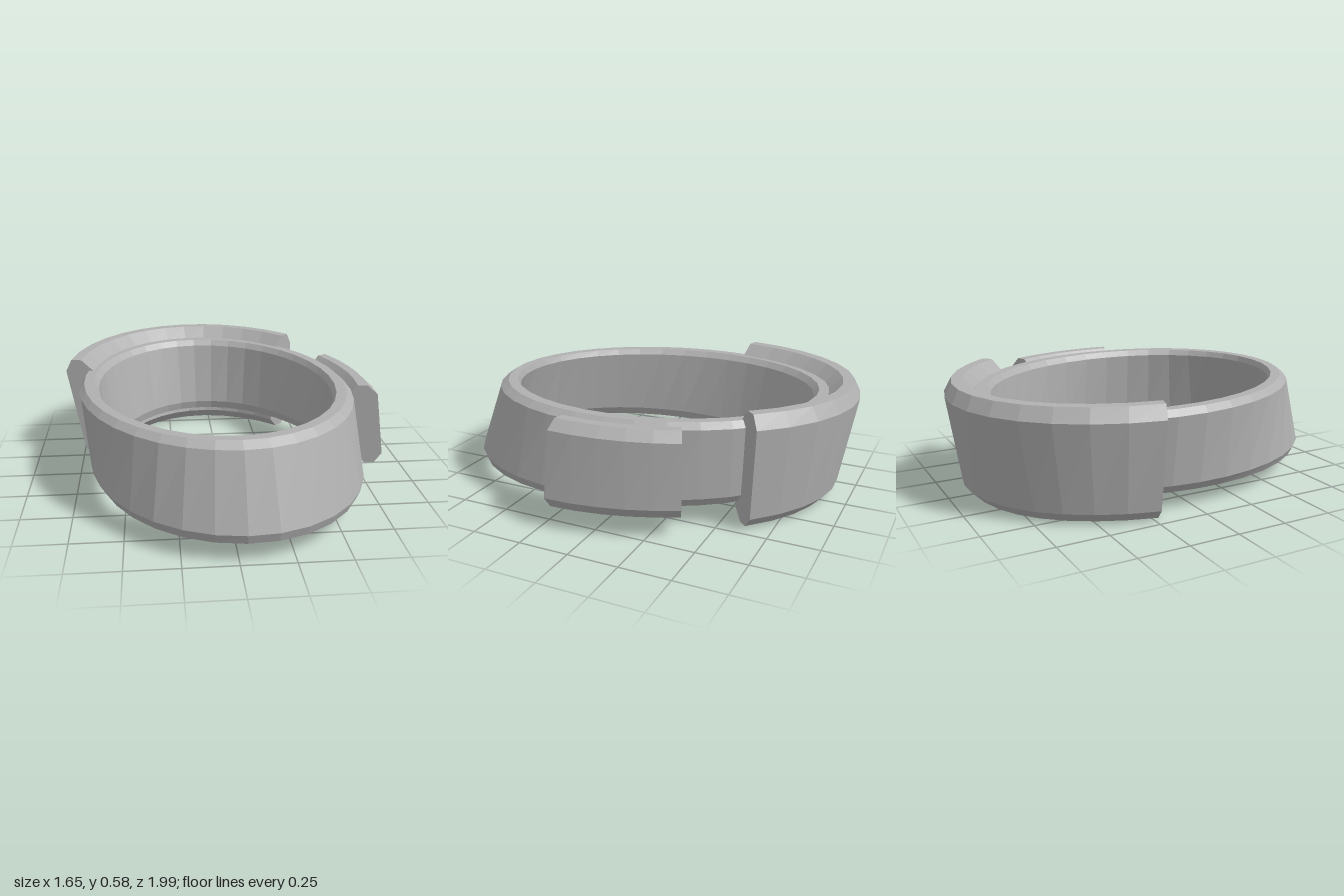
import * as THREE from 'three';

const grey = new THREE.MeshStandardMaterial({ color: 0xb0b0b0, flatShading: true });
grey.name = 'grey metal';

// Outward lean of the walls towards the bottom, by direction around the oval
const flare = (t) => 0.01 + 0.038 * Math.sin(t) + 0.09 * Math.cos(t) + 0.02 * Math.cos(2 * t);

// Point on a slightly skewed oval; d is the offset from its outer wall
function ovalPoint(t, rx, rz, d, y) {
  const r = d + flare(t) * (0.5 - y) / 0.36;
  const z = (rz + r) * Math.cos(t);
  const x = -0.035 + (rx + r) * Math.sin(t) + 0.07 * z;
  return new THREE.Vector3(x, y + 0.008 * x, z + 0.003);
}

// Sweep a bevelled section [offset, y] around the oval, from start to end degrees
function makeBand(name, rx, rz, profile, start, end, segments) {
  const closed = end - start >= 360;
  const n = profile.length;
  const rings = [];
  for (let i = 0; i <= segments; i++) {
    const t = THREE.MathUtils.degToRad(start + (end - start) * i / segments);
    rings.push(profile.map(([d, y]) => ovalPoint(t, rx, rz, d, y)));
  }
  const points = [];
  for (let i = 0; i < segments; i++) {
    for (let j = 0; j < n; j++) {
      const k = (j + 1) % n;
      const a = rings[i][j], b = rings[i + 1][j], c = rings[i + 1][k], e = rings[i][k];
      points.push(a, b, c, a, c, e);
    }
  }
  // Flat end faces
  if (!closed) {
    const first = rings[0], last = rings[segments];
    for (let j = 1; j < n - 1; j++) {
      points.push(first[0], first[j], first[j + 1], last[0], last[j + 1], last[j]);
    }
  }
  const geometry = new THREE.BufferGeometry().setFromPoints(points);
  geometry.computeVertexNormals();
  const mesh = new THREE.Mesh(geometry, grey);
  mesh.name = name;
  return mesh;
}

// Eight-sided section, listed from the lower outer corner upwards and round
function section(outer, inner, outBevel, inBevel, y0, y1, low, high) {
  return [
    [outer, y0 + low], [outer, y1 - high], [outer - outBevel, y1], [inner + inBevel, y1],
    [inner, y1 - high], [inner, y0 + low], [inner + inBevel, y0], [outer - outBevel, y0],
  ];
}

export function createModel() {
  const group = new THREE.Group();
  group.name = 'bevelledRing';
  group.add(
    makeBand('mainRing', 0.695, 0.875, section(0, -0.1, 0.03, 0.02, 0.095, 0.515, 0.045, 0.03), 0, 360, 36),
    makeBand('backGuard', 0.79, 1.0, section(0, -0.16, 0.045, 0.06, 0.006, 0.572, 0.055, 0.065), 133, 255, 12),
    makeBand('sideGuard', 0.825, 0.99, section(0, -0.14, 0.045, 0.045, 0.092, 0.515, 0.055, 0.045), 78, 114.5, 5),
  );
  return group;
}
